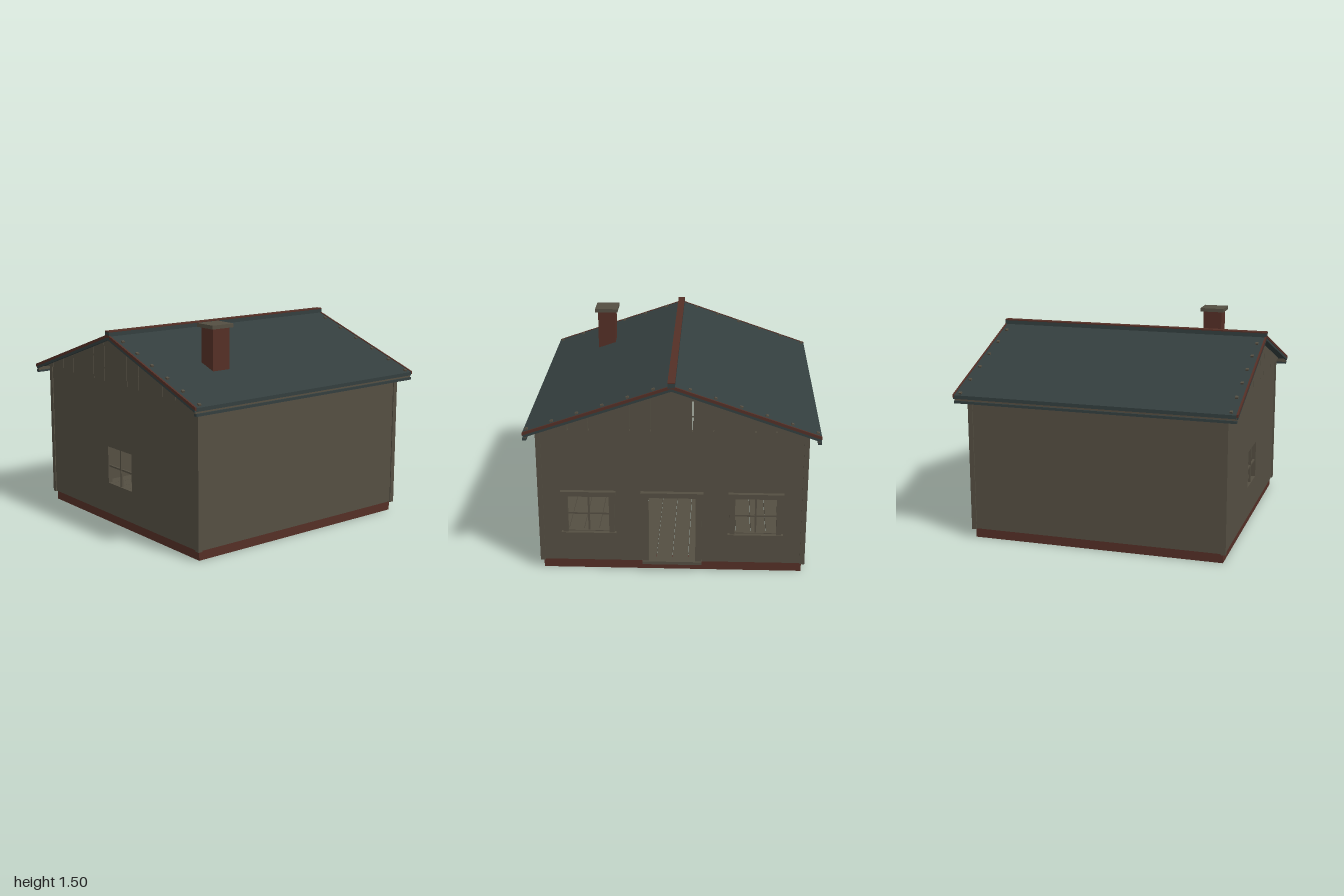
import * as THREE from 'three';

const mat = (name, color) => Object.assign(new THREE.MeshStandardMaterial({ color }), { name });

export function createModel() {
  const house = new THREE.Group();
  house.name = 'cabin';
  const wood = mat('weathered wood', 0x544e42);
  const brick = mat('brick red', 0x542f26);
  const slate = mat('dark slate', 0x333e3e);

  const add = (name, geometry, material, parent = house) => {
    const mesh = new THREE.Mesh(geometry, material);
    mesh.name = name;
    parent.add(mesh);
    return mesh;
  };
  // box given by its minimum and maximum on each axis
  const box = (name, material, x0, x1, y0, y1, z0, z1, parent) => {
    const mesh = add(name, new THREE.BoxGeometry(x1 - x0, y1 - y0, z1 - z0), material, parent);
    mesh.position.set((x0 + x1) / 2, (y0 + y1) / 2, (z0 + z1) / 2);
    return mesh;
  };
  // outline in the xy plane, extruded from z0 to z1
  const slab = (name, material, points, z0, z1, holes = [], parent = house) => {
    const shape = new THREE.Shape(points.map(p => new THREE.Vector2(...p)));
    for (const h of holes) shape.holes.push(new THREE.Path(h.map(p => new THREE.Vector2(...p))));
    const geometry = new THREE.ExtrudeGeometry(shape, { depth: z1 - z0, bevelEnabled: false });
    geometry.translate(0, 0, z0);
    return add(name, geometry, material, parent);
  };
  const roofY = x => 1.4 - 0.345 * Math.abs(x); // top of the roof

  // foundation frame and floor planks
  for (const s of [-1, 1]) {
    const a = s < 0 ? -0.9 : 0.83, b = s < 0 ? -0.83 : 0.9;
    box('foundationSide', brick, a, b, 0, 0.07, -0.9, 0.9);
    box('foundationEnd', brick, -0.83, 0.83, 0, 0.07, a, b);
  }
  const planks = 16, pitch = 1.78 / planks;
  for (let i = 0; i < planks; i++) {
    const x = -0.89 + i * pitch;
    box('floorPlank', wood, x + 0.002, x + pitch - 0.002, 0.05, 0.075, -0.89, 0.89);
  }

  // walls with openings
  const low = 0.07, top = 1.05, w = 0.915, sill = 0.3, head = 0.57;
  const opening = (cx, hw) => [[cx - hw, sill], [cx - hw, head], [cx + hw, head], [cx + hw, sill]];
  slab('frontWall', wood, [[-w, low], [w, low], [w, top], [-w, top]], 0.885, w, [opening(0, 0.147)]);
  slab('backWall', wood,
    [[-w, low], [-0.165, low], [-0.165, head], [0.165, head], [0.165, low], [w, low], [w, top], [-w, top]],
    -w, -0.885, [opening(-0.575, 0.145), opening(0.575, 0.145)]);
  for (const s of [-1, 1]) {
    const side = box('sideWall', wood, -0.015, 0.015, low, top, -0.885, 0.885);
    side.position.x = s * 0.9;
    for (const t of [-1, 1]) {
      const post = box('cornerPost', wood, -0.017, 0.017, 0.065, top, -0.017, 0.017);
      post.position.x = s * 0.905;
      post.position.z = t * 0.905;
    }
  }

  // window crossbars
  const crossbars = (cx, z) => {
    box('windowUpright', wood, cx - 0.006, cx + 0.006, sill, head, z - 0.008, z + 0.008);
    box('windowCrossbar', wood, cx - 0.147, cx + 0.147, 0.42, 0.432, z - 0.007, z + 0.007);
  };
  crossbars(0, 0.9);

  // trim on the back windows
  for (const cx of [-0.575, 0.575]) {
    crossbars(cx, -0.9);
    for (const s of [-1, 1]) {
      box('windowTrimSide', wood, -0.018, 0.018, 0.28, 0.58, -0.937, -0.91).position.x = cx + s * 0.16;
    }
    box('windowHead', wood, cx - 0.19, cx + 0.19, 0.57, 0.605, -0.945, -0.91);
    box('windowSill', wood, cx - 0.19, cx + 0.19, 0.255, 0.295, -0.945, -0.91);
  }

  // door frame and threshold
  for (const s of [-1, 1]) {
    box('doorTrimSide', wood, -0.02, 0.02, 0.065, 0.575, -0.94, -0.885).position.x = s * 0.182;
  }
  box('doorHead', wood, -0.215, 0.215, 0.57, 0.605, -0.948, -0.885);
  box('doorThreshold', wood, -0.205, 0.205, 0.06, 0.082, -0.953, -0.88);

  // gable boards with open joints
  const cuts = [-0.92, -0.84, -0.7, -0.56, -0.28, -0.14, 0.14, 0.28, 0.56, 0.7, 0.84, 0.92];
  for (const z of [-0.935, 0.905]) {
    for (let i = 0; i < cuts.length - 1; i++) {
      const a = cuts[i] + 0.003, b = cuts[i + 1] - 0.003;
      const points = [[a, top], [b, top], [b, roofY(b) - 0.025]];
      if (a < 0 && b > 0) points.push([0, roofY(0) - 0.025]);
      points.push([a, roofY(a) - 0.025]);
      slab('gableBoard', wood, points, z, z + 0.03);
    }
  }

  // roof slopes, edge boards, eaves and bolts
  const strip = (s, x1, up, down) => {
    const p = [[0, roofY(0) - down], [s * x1, roofY(x1) - down], [s * x1, roofY(x1) + up], [0, roofY(0) + up]];
    return s > 0 ? p : p.reverse();
  };
  for (const s of [-1, 1]) {
    slab('roofSlope', slate, strip(s, 0.995, 0, 0.025), -0.988, 0.988);
    for (const t of [-1, 1]) {
      const z0 = t > 0 ? 0.988 : -1;
      slab('roofEdgeBoard', brick, strip(s, 0.995, 0.004, 0.016), z0, z0 + 0.012);
      slab('roofEdgeUnderstrip', slate, strip(s, 0.985, -0.016, 0.034), z0, z0 + 0.01);
      for (let i = 0; i < 6; i++) {
        const x = 0.12 + i * 0.17;
        const bolt = box('roofBolt', wood, -0.01, 0.01, -0.008, 0.012, -0.01, 0.01);
        bolt.position.set(s * x, roofY(x) + 0.002, t * 0.95);
        bolt.rotation.z = -s * Math.atan(0.345);
      }
    }
    box('eavesBoard', wood, -0.008, 0.008, 1.015, 1.058, -0.99, 0.99).position.x = s * 0.978;
    box('eavesLip', slate, -0.013, 0.013, 1.0, 1.018, -0.99, 0.99).position.x = s * 0.983;
  }

  // ridge beam with red capping
  box('ridgeBeam', slate, -0.024, 0.024, 1.375, 1.42, -1, 1);
  box('ridgeCap', brick, -0.025, 0.025, 1.42, 1.428, -1, 1);

  // chimney
  box('chimneyStack', brick, 0.49, 0.62, 1.1, 1.475, 0.42, 0.56);
  box('chimneyCap', wood, 0.47, 0.64, 1.474, 1.5, 0.4, 0.58);

  return house;
}
